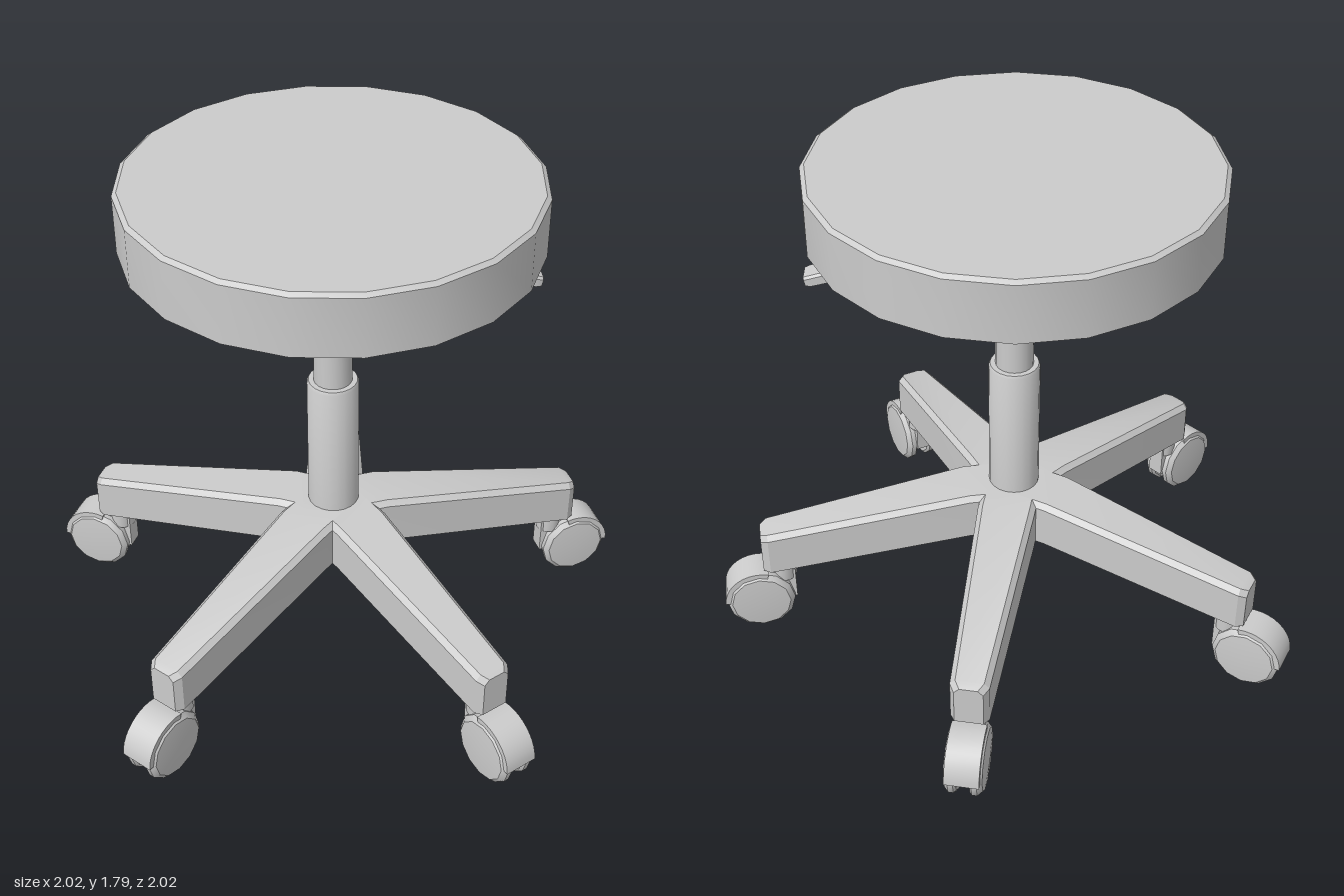
import * as THREE from 'three';
import { toCreasedNormals } from 'three/addons/utils/BufferGeometryUtils.js';

const material = new THREE.MeshStandardMaterial({ color: 0xcccccc });

function add(parent, name, geometry, crease = 0.6) {
  const mesh = new THREE.Mesh(toCreasedNormals(geometry, crease), material);
  mesh.name = name;
  parent.add(mesh);
  return mesh;
}

// Surface of revolution from [radius, height] pairs, bottom to top
function lathe(points, sides) {
  return new THREE.LatheGeometry(points.map(([r, y]) => new THREE.Vector2(r, y)), sides);
}

// Bar along x; each station is [x, halfWidth, bottom, top, chamfer]
function loftBar(stations) {
  const positions = [], index = [], n = 6;
  for (const [x, w, b, t, c] of stations) {
    for (const [z, y] of [[-w, b], [w, b], [w, t - c], [w - c, t], [c - w, t], [-w, t - c]]) {
      positions.push(x, y, z);
    }
  }
  for (let s = 0; s < stations.length - 1; s++) {
    for (let j = 0; j < n; j++) {
      const a = s * n + j, b = s * n + (j + 1) % n;
      index.push(a, a + n, b, b, a + n, b + n);
    }
  }
  const last = (stations.length - 1) * n;
  for (let j = 1; j < n - 1; j++) {
    index.push(0, j, j + 1, last, last + j + 1, last + j);
  }
  const geometry = new THREE.BufferGeometry();
  geometry.setAttribute('position', new THREE.Float32BufferAttribute(positions, 3));
  geometry.setIndex(index);
  geometry.computeVertexNormals();
  return geometry;
}

// Twin-wheel caster, wheel axis along z, centred on its axle
function createCaster() {
  const caster = new THREE.Group();
  caster.name = 'caster';

  for (const side of [-1, 1]) {
    const wheel = add(caster, 'wheel', lathe(
      [[0, 0.022], [0.112, 0.022], [0.122, 0.03], [0.122, 0.048], [0.105, 0.064], [0, 0.072]], 12));
    wheel.rotation.x = side * Math.PI / 2;
  }

  const core = add(caster, 'core', new THREE.CylinderGeometry(0.098, 0.098, 0.05, 12));
  core.rotation.x = Math.PI / 2;

  // Curved guard over the outer upper part of the wheels
  const arc = new THREE.Shape();
  arc.absarc(0, 0, 0.128, 0, 1.85, false);
  arc.absarc(0, 0, 0.1, 1.85, 0, true);
  const hood = new THREE.ExtrudeGeometry(arc, { depth: 0.116, bevelEnabled: false, curveSegments: 5 });
  hood.translate(0, 0, -0.058);
  add(caster, 'hood', hood);

  const neck = add(caster, 'neck', new THREE.BoxGeometry(0.09, 0.13, 0.06));
  neck.position.set(-0.085, 0.05, 0);
  const stem = add(caster, 'stem', new THREE.CylinderGeometry(0.045, 0.045, 0.1, 12));
  stem.position.set(-0.09, 0.125, 0);
  return caster;
}

export function createModel() {
  const model = new THREE.Group();
  model.name = 'swivelStool';
  const stool = new THREE.Group();
  stool.name = 'stool';
  stool.position.set(-0.045, 0, 0.04);
  model.add(stool);

  // Seat cushion
  add(stool, 'seat', lathe(
    [[0, 1.562], [0.35, 1.567], [0.655, 1.575], [0.67, 1.585], [0.67, 1.782], [0.655, 1.793], [0.35, 1.793], [0, 1.788]], 20));

  // Stepped mounting plates under the seat
  const plates = [[0.2, 0.15, 1.535, 1.568], [0.108, 0.075, 1.505, 1.537]];
  for (const [top, bottom, y0, y1] of plates) {
    const geometry = new THREE.CylinderGeometry(top * Math.SQRT2, bottom * Math.SQRT2, y1 - y0, 4);
    geometry.rotateY(Math.PI / 4);
    add(stool, 'mountingPlate', geometry).position.y = (y0 + y1) / 2;
  }

  // Gas lift column: wide sleeve, slim piston
  add(stool, 'column', lathe(
    [[0, 0.355], [0.06, 0.355], [0.06, 0.4], [0.088, 0.4], [0.088, 1.035], [0.083, 1.045],
      [0.065, 1.045], [0.065, 1.515], [0, 1.515]], 20));

  // Height lever with paddle handle
  const path = new THREE.CatmullRomCurve3([[0.05, 1.55], [0.17, 1.547], [0.27, 1.505], [0.37, 1.46], [0.5, 1.423]]
    .map(([x, y]) => new THREE.Vector3(x, y, 0)));
  add(stool, 'leverRod', new THREE.TubeGeometry(path, 12, 0.012, 8));
  const handle = add(stool, 'leverHandle', loftBar([
    [0, 0.02, -0.015, 0.015, 0.006], [0.04, 0.032, -0.02, 0.02, 0.008],
    [0.18, 0.042, -0.018, 0.018, 0.008], [0.2, 0.038, -0.015, 0.015, 0.008]]), 0.4);
  handle.position.set(0.485, 1.428, 0);
  handle.rotation.z = -0.22;

  // Five-armed base with casters
  for (let i = 0; i < 5; i++) {
    const leg = new THREE.Group();
    leg.name = 'baseLeg';
    leg.rotation.y = THREE.MathUtils.degToRad(9 + 72 * i);
    add(leg, 'arm', loftBar([
      [0, 0.1, 0.375, 0.545, 0.018], [0.17, 0.1, 0.375, 0.545, 0.018],
      [0.885, 0.065, 0.262, 0.424, 0.018], [0.91, 0.048, 0.262, 0.412, 0.018]]), 0.3);
    const caster = createCaster();
    caster.position.set(0.93, 0.122, 0);
    leg.add(caster);
    stool.add(leg);
  }
  return model;
}
